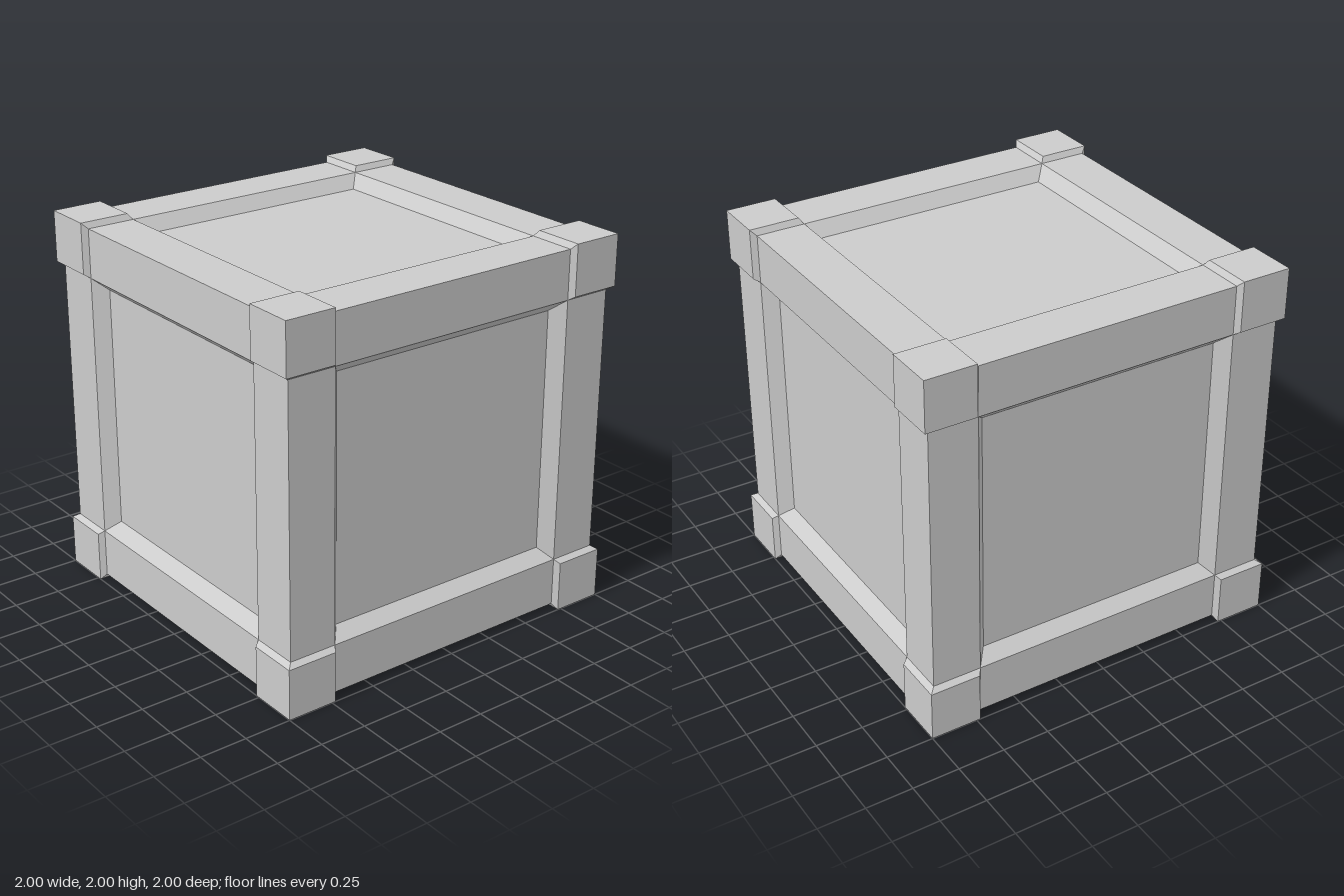
import * as THREE from 'three';
import { ConvexGeometry } from 'three/addons/geometries/ConvexGeometry.js';

const CORNER = 1;      // outer face of corner caps
const BEAM = 0.97;     // outer face of beams
const PANEL = 0.9;     // face of recessed panels
const CAP_IN = 0.73;   // inner edge of cap faces
const BEAM_IN = 0.71;  // inner edge of beam faces
const PANEL_IN = 0.65; // edge of the visible panel

export function createModel() {
  const model = new THREE.Group();
  model.name = 'crate';
  const material = new THREE.MeshStandardMaterial({ color: 0xcccccc, flatShading: true });

  const add = (parent, geometry, name) => {
    const mesh = new THREE.Mesh(geometry, material);
    mesh.name = name;
    parent.add(mesh);
    return mesh;
  };

  const body = new THREE.Group();
  body.name = 'body';
  body.position.y = 1;
  model.add(body);

  // Core: its six faces are the recessed panels
  add(body, new THREE.BoxGeometry(2 * PANEL, 2 * PANEL, 2 * PANEL), 'panels');

  // Beams: one bevelled section, four along each axis
  const section = new THREE.Shape([
    [BEAM, BEAM], [BEAM_IN, BEAM], [PANEL_IN, PANEL], [PANEL, PANEL_IN], [BEAM, BEAM_IN],
  ].map(([x, y]) => new THREE.Vector2(x, y)));
  const beam = new THREE.ExtrudeGeometry(section, { depth: 2 * BEAM_IN, bevelEnabled: false });
  beam.translate(0, 0, -BEAM_IN);
  const axes = { depth: [0, 0, 0], width: [0, Math.PI / 2, 0], upright: [Math.PI / 2, 0, 0] };
  for (const [axis, rotation] of Object.entries(axes)) {
    const beams = new THREE.Group();
    beams.name = `${axis}Beams`;
    beams.rotation.set(...rotation);
    body.add(beams);
    for (let i = 0; i < 4; i++) add(beams, beam, `${axis}Beam`).rotation.z = i * Math.PI / 2;
  }

  // Corner caps: hull of an outer cube and a slightly inset one gives the bevelled skirts
  for (const sx of [-1, 1]) for (const sy of [-1, 1]) for (const sz of [-1, 1]) {
    const points = [];
    for (const pair of [[CAP_IN, CORNER], [BEAM_IN, BEAM]])
      for (const x of pair) for (const y of pair) for (const z of pair)
        points.push(new THREE.Vector3(sx * x, sy * y, sz * z));
    add(body, new ConvexGeometry(points), 'cornerCap');
  }

  return model;
}
